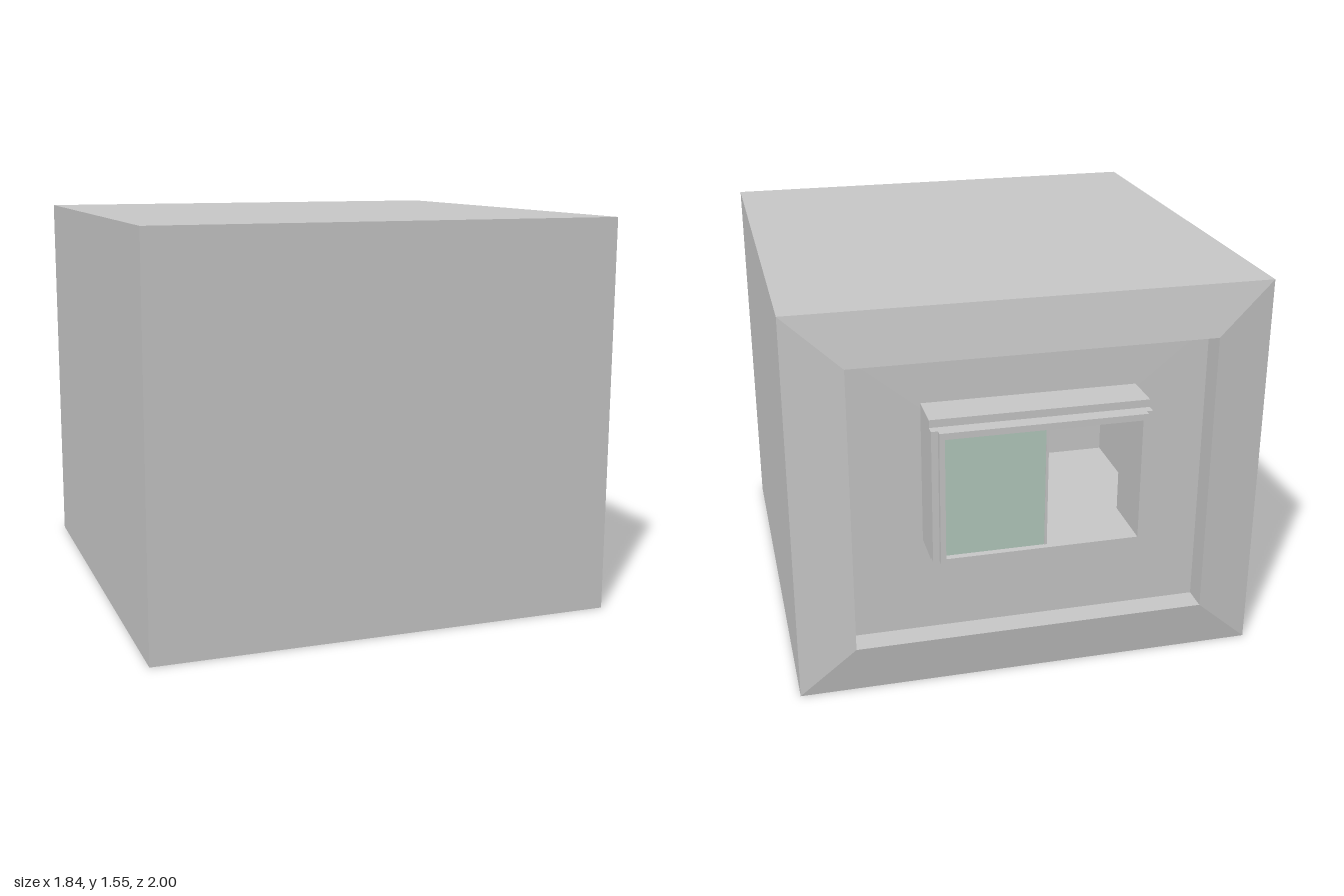
import * as THREE from 'three';

const W = 0.92, H = 1.55;      // half width and height of the room
const BACK = -0.845, FRONT = 1;

export function createModel() {
  const model = new THREE.Group();
  const wall = new THREE.MeshStandardMaterial({ color: 0xc8c8c8 });
  wall.name = 'wall grey';
  const glass = new THREE.MeshStandardMaterial({ color: 0xb3cabe });
  glass.name = 'green glass';

  function add(name, geometry, material, parent) {
    const mesh = new THREE.Mesh(geometry, material);
    mesh.name = name;
    parent.add(mesh);
    return mesh;
  }

  // box given by its lower and upper corners
  function block(name, x0, x1, y0, y1, z0, z1, parent, material = wall) {
    const mesh = add(name, new THREE.BoxGeometry(x1 - x0, y1 - y0, z1 - z0), material, parent);
    mesh.position.set((x0 + x1) / 2, (y0 + y1) / 2, (z0 + z1) / 2);
    return mesh;
  }

  // hollow room
  const room = new THREE.Group();
  room.name = 'room';
  model.add(room);
  const side = 0.03, slab = 0.05;
  block('floor', -W, W, 0, slab, BACK, FRONT, room);
  block('ceiling', -W, W, H - slab, H, BACK, FRONT, room);
  block('frontWall', -W, W, slab, H - slab, FRONT - 0.03, FRONT, room);
  block('leftWall', W - side, W, slab, H - slab, BACK, FRONT - 0.03, room);
  block('rightWall', -W, -W + side, slab, H - slab, BACK, FRONT - 0.03, room);

  // sloped surround and recess, lofted through rectangular loops
  const loops = [
    [W, 0, H, BACK],
    [0.7, 0.2, 1.35, -0.88],
    [0.7, 0.2, 1.35, -0.78],
  ].map(([x, y0, y1, z]) => [[-x, y0, z], [x, y0, z], [x, y1, z], [-x, y1, z]]);
  const points = [];
  for (let k = 0; k < loops.length - 1; k++) {
    for (let i = 0; i < 4; i++) {
      const j = (i + 1) % 4;
      const [a, b, c, d] = [loops[k][i], loops[k + 1][i], loops[k + 1][j], loops[k][j]];
      points.push(...a, ...b, ...c, ...a, ...c, ...d);
    }
  }
  const surround = new THREE.BufferGeometry();
  surround.setAttribute('position', new THREE.Float32BufferAttribute(points, 3));
  surround.computeVertexNormals();
  add('backSurround', surround, wall, model);

  // back wall panel with the window opening
  const rect = (T, x, y0, y1) => {
    const p = new T();
    p.moveTo(-x, y0).lineTo(x, y0).lineTo(x, y1).lineTo(-x, y1).closePath();
    return p;
  };
  const panel = rect(THREE.Shape, W - 0.01, 0.01, H - 0.01);
  panel.holes.push(rect(THREE.Path, 0.37, 0.62, 1.1));
  const panelMesh = add('backPanel',
    new THREE.ExtrudeGeometry(panel, { depth: 0.02, bevelEnabled: false }), wall, model);
  panelMesh.position.z = -0.78;

  // projecting window frame with a stepped front lip
  const frame = new THREE.Group();
  frame.name = 'windowFrame';
  model.add(frame);
  block('head', -0.415, 0.415, 1.1, 1.155, -0.94, -0.77, frame);
  block('headLip', -0.39, 0.39, 1.1, 1.125, -1, -0.94, frame);
  block('sill', -0.415, 0.415, 0.59, 0.62, -0.94, -0.77, frame);
  block('sillLip', -0.39, 0.39, 0.6, 0.62, -1, -0.94, frame);
  for (const s of [-1, 1]) {
    const jamb = block('jamb', -0.0225, 0.0225, 0.6, 1.125, -0.976, -0.77, frame);
    jamb.position.x = s * 0.3925;
    const lip = block('jambLip', -0.01, 0.01, 0.6, 1.125, -1, -0.97, frame);
    lip.position.x = s * 0.38;
  }

  // sliding pane covering half of the opening
  block('slidingPane', -0.01, 0.37, 0.62, 1.1, -0.974, -0.965, model, glass);
  block('paneEdge', -0.02, -0.01, 0.62, 1.1, -0.976, -0.963, model);

  return model;
}
